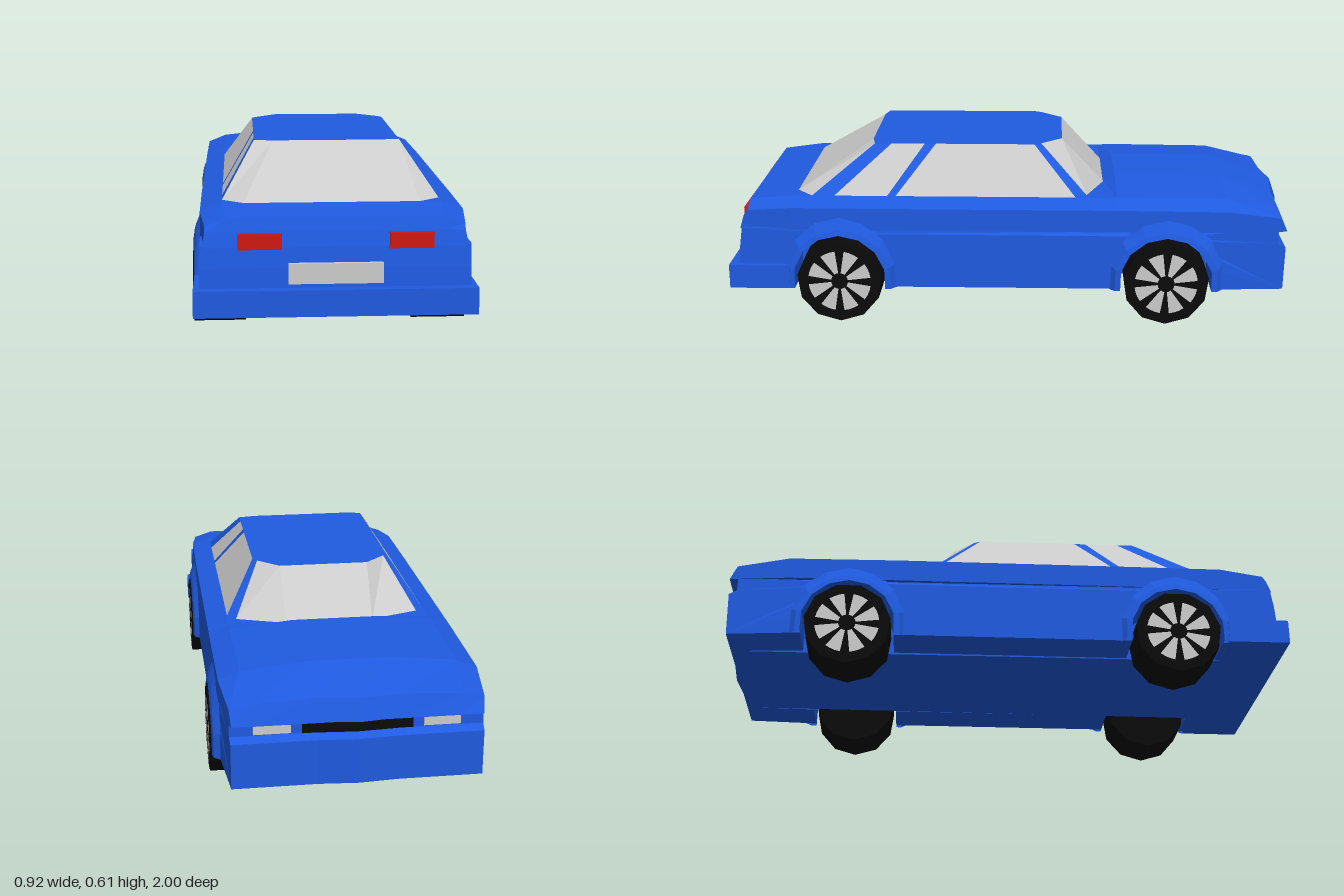
import * as THREE from 'three';

const mat = (color) => new THREE.MeshStandardMaterial({ color, flatShading: true, side: THREE.DoubleSide });
const paint = mat(0x1f5ae0), glass = mat(0xcccccc), black = mat(0x0a0a0a), red = mat(0xd01810);

// Surface through rows of [x, y, z] points
function skin(rows) {
  const n = rows[0].length, idx = [];
  for (let i = 0; i < rows.length - 1; i++)
    for (let j = 0; j < n - 1; j++) {
      const a = i * n + j, b = a + 1, d = a + n, c = d + 1;
      idx.push(a, b, c, a, c, d);
    }
  const g = new THREE.BufferGeometry();
  g.setAttribute('position', new THREE.Float32BufferAttribute(rows.flat(2), 3));
  g.setIndex(idx);
  const flat = g.toNonIndexed();
  flat.computeVertexNormals();
  return flat;
}

export function createModel() {
  const car = new THREE.Group();
  car.name = 'car';
  const add = (name, geo, material, parent = car) => {
    const m = new THREE.Mesh(geo, material);
    m.name = name;
    parent.add(m);
    return m;
  };
  const box = (name, material, w, h, d, x, y, z) =>
    add(name, new THREE.BoxGeometry(w, h, d).translate(x, y, z), material);

  const WHEEL_Y = 0.155, AXLES = [['rear', 0.605], ['front', -0.556]];
  // Pointed nose in plan, and narrowing towards the front corners
  const nose = (x, z, amount) => (z < -0.9 ? z - amount * Math.max(0, 1 - Math.abs(x) / 0.14) : z);
  const taper = (z) => 1 - 0.05 * THREE.MathUtils.clamp((-z - 0.78) / 0.19, 0, 1);

  // Lower body: side profile, with wheel openings on the outer slabs
  function lowerBody(name, x0, x1, steps, arches) {
    const s = new THREE.Shape();
    s.moveTo(-0.97, 0.12);
    if (arches)
      for (const [, z] of AXLES)
        for (let i = 0; i <= 8; i++) {
          const t = Math.PI + 0.2 - (i / 8) * (Math.PI + 0.4);
          s.lineTo(-z + 0.165 * Math.cos(t), Math.max(0.12, WHEEL_Y + 0.165 * Math.sin(t)));
        }
    for (const [a, b] of [[0.975, 0.12], [0.978, 0.275], [0.95, 0.29], [0.95, 0.34], [-0.95, 0.34], [-0.96, 0.27]])
      s.lineTo(a, b);
    const g = new THREE.ExtrudeGeometry(s, { depth: x1 - x0, steps, bevelEnabled: false });
    g.translate(0, 0, x0).rotateY(Math.PI / 2);
    const p = g.attributes.position;
    for (let i = 0; i < p.count; i++) {
      const x = p.getX(i), z = p.getZ(i);
      p.setX(i, x * taper(z));
      p.setZ(i, nose(x, z, 0.01));
    }
    g.computeVertexNormals();
    add(name, g, paint);
  }
  lowerBody('lowerBodyCentre', -0.28, 0.28, 4, false);
  lowerBody('lowerBodyLeft', 0.28, 0.43, 1, true);
  lowerBody('lowerBodyRight', -0.43, -0.28, 1, true);

  // Upper body: z, half width, shoulder y, deck edge y, deck centre y
  const sections = [
    [-0.98, 0.405, 0.337, 0.338, 0.339],
    [-0.955, 0.41, 0.385, 0.4, 0.41],
    [-0.77, 0.43, 0.412, 0.44, 0.462],
    [-0.38, 0.432, 0.415, 0.443, 0.465],
    [-0.335, 0.432, 0.415, 0.44, 0.44],
    [0.45, 0.432, 0.415, 0.44, 0.44],
    [0.775, 0.43, 0.415, 0.44, 0.44],
    [0.932, 0.412, 0.4, 0.423, 0.423],
    [0.945, 0.412, 0.38, 0.385, 0.385],
    [0.957, 0.42, 0.337, 0.338, 0.338],
  ];
  add('upperBody', skin(sections.map(([z, w, y1, y2, y3]) => {
    const half = [[w, 0.335], [w, y1], [w - 0.07, y2], [0.14, y3]];
    const ring = [...half, [0, y3], ...half.map(([x, y]) => [-x, y]).reverse(), half[0]];
    return ring.map(([x, y]) => [x, y, nose(x, z, 0.02)]);
  })), paint);

  // Cabin: base x, z, top x, z, then the panel running on to the next post
  const posts = [
    [0, -0.34, 0, -0.185, 'windshield', glass],
    [0.155, -0.34, 0.16, -0.185, 'windshieldCorner', glass],
    [0.33, -0.275, 0.235, -0.11, 'frontPillar', paint],
    [0.36, -0.235, 0.25, -0.085, 'doorWindow', glass],
    [0.36, 0.41, 0.25, 0.27, 'middlePillar', paint],
    [0.36, 0.44, 0.25, 0.31, 'quarterWindow', glass],
    [0.36, 0.63, 0.25, 0.43, 'rearPillar', paint],
    [0.36, 0.71, 0.25, 0.49, 'rearWindowCorner', glass],
    [0.29, 0.77, 0.185, 0.503, 'rearWindow', glass],
    [0, 0.77, 0, 0.503],
  ];
  for (const s of [1, -1])
    for (let i = 0; i < posts.length - 1; i++) {
      const pair = s > 0 ? [posts[i + 1], posts[i]] : [posts[i], posts[i + 1]];
      const base = pair.map((p) => [s * p[0], 0.438, p[1]]);
      const top = pair.map((p) => [s * p[2], 0.605, p[3]]);
      add(posts[i][4], skin([base, top]), posts[i][5]);
    }
  add('roof', skin(posts.map((p) => [[p[2], 0.605, p[3]], [-p[2], 0.605, p[3]]])), paint);

  // Rear bumper, plate panel and lamps
  box('rearBumper', paint, 0.9, 0.086, 0.215, 0, 0.163, 0.8925);
  box('platePanel', glass, 0.3, 0.066, 0.03, 0, 0.252, 0.957);
  for (const s of [1, -1]) {
    box('tailLight', red, 0.14, 0.05, 0.03, s * 0.24, 0.354, 0.95);
    box('headlight', glass, 0.12, 0.034, 0.02, s * 0.275, 0.312, -0.946);
  }
  // Grille set under the hood lip
  add('grille', skin([0.292, 0.333].map((y) =>
    [0.18, 0.14, 0, -0.14, -0.18].map((x) => [x, y, nose(x, -0.956, 0.01)]))), black);

  for (const s of [1, -1])
    for (const [end, z] of AXLES) {
      // Flared wheel arch: x, z radius, y radius
      const lip = [[0.42, 0.165, 0.165], [0.453, 0.165, 0.165], [0.448, 0.185, 0.185], [0.425, 0.205, 0.24]];
      const rows = lip.map(([x, rz, ry]) => Array.from({ length: 9 }, (_, i) => {
        const t = -0.2 + (i / 8) * (Math.PI + 0.4);
        return [s * x, Math.max(0.12, WHEEL_Y + ry * Math.sin(t)), z + rz * Math.cos(t)];
      }));
      add(end + 'Arch', skin(s > 0 ? rows.reverse() : rows), paint);

      // Wheel with eight pale wedges on its outer face
      const wheel = new THREE.Group();
      wheel.name = end + 'Wheel';
      wheel.position.set(s * 0.37, WHEEL_Y - 0.003, z);
      wheel.rotation.y = s * Math.PI / 2;
      add('tyre', new THREE.CylinderGeometry(0.152, 0.152, 0.172, 11).rotateX(Math.PI / 2), black, wheel);
      for (let i = 0; i < 8; i++) {
        const wedge = new THREE.RingGeometry(0.03, 0.112, 1, 1, (i * Math.PI) / 4 + 0.12, 0.5);
        add('rimWedge', wedge, glass, wheel).position.z = 0.0875;
      }
      car.add(wheel);
    }
  return car;
}
